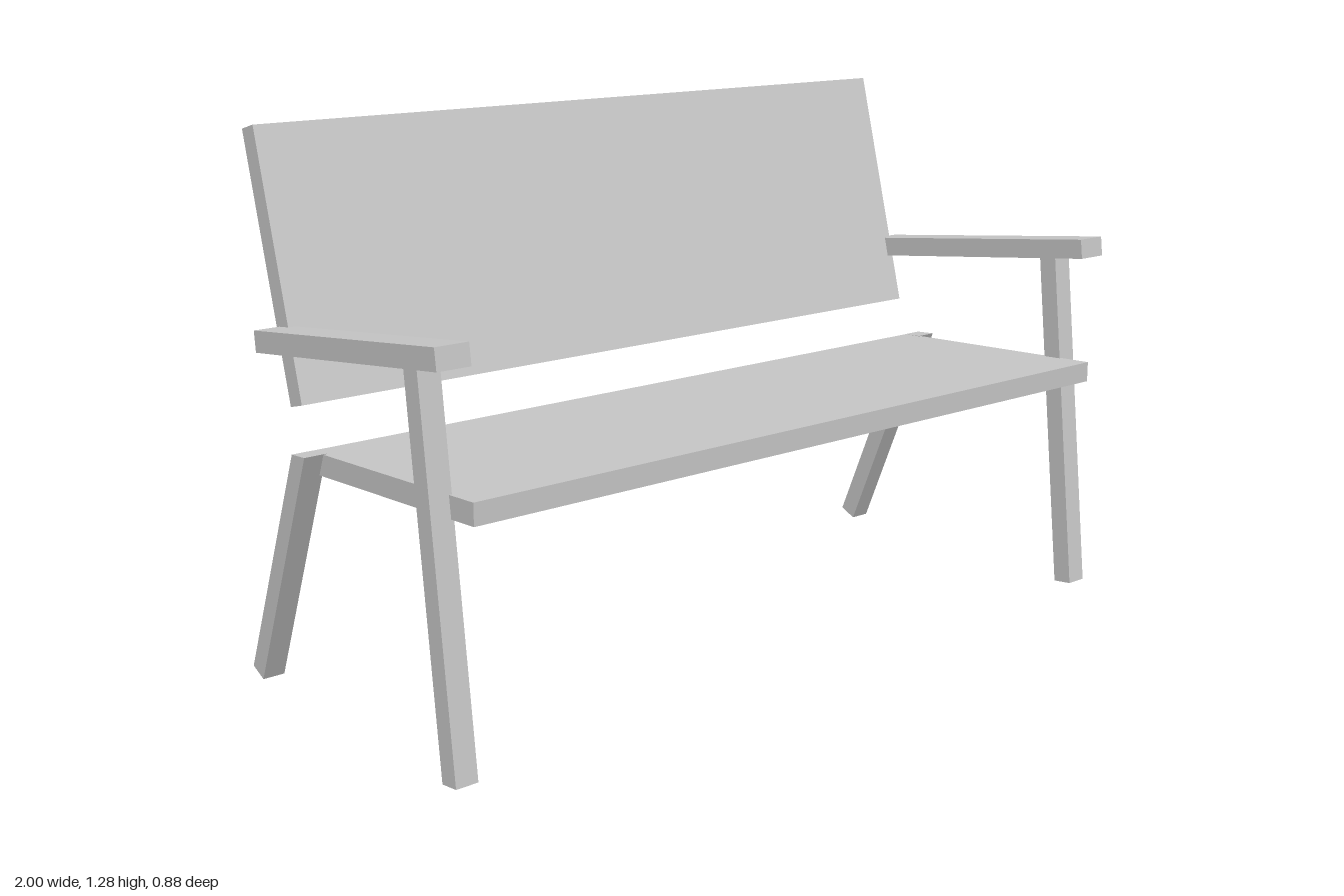
import * as THREE from 'three';

const material = new THREE.MeshStandardMaterial({ color: 0xcccccc, flatShading: true });

// A plank: side outline given as [z, y] corners, extruded across x and centred on x
function plank(name, outline, width, x = 0) {
  const shape = new THREE.Shape(outline.map(([z, y]) => new THREE.Vector2(z, y)));
  const geometry = new THREE.ExtrudeGeometry(shape, { depth: width, bevelEnabled: false });
  geometry.translate(0, 0, -width / 2);
  geometry.rotateY(-Math.PI / 2);
  const mesh = new THREE.Mesh(geometry, material);
  mesh.name = name;
  mesh.position.x = x;
  return mesh;
}

export function createModel() {
  const bench = new THREE.Group();
  bench.name = 'bench';

  // Seat slopes down to the rear, backrest leans away
  bench.add(plank('seat', [[0.438, 0.562], [0.438, 0.612], [-0.196, 0.581], [-0.196, 0.531]], 1.876));
  bench.add(plank('backrest', [[-0.228, 0.677], [-0.388, 1.278], [-0.438, 1.265], [-0.278, 0.664]], 1.876));

  // Mirrored side frames
  for (const [side, s] of [['left', 1], ['right', -1]]) {
    const frame = new THREE.Group();
    frame.name = side + 'Frame';
    frame.add(
      plank('frontLeg', [[0.418, 0.014], [0.323, 0.868], [0.274, 0.861], [0.368, 0.008]], 0.054, s * 0.958),
      // Top of the rear leg is cut along the seat slope
      plank('backLeg', [[-0.387, 0], [-0.142, 0.585], [-0.197, 0.581], [-0.432, 0.02]], 0.054, s * 0.958),
      plank('armrest', [[0.418, 0.878], [0.412, 0.926], [-0.313, 0.84], [-0.308, 0.791]], 0.08, s * 0.96)
    );
    bench.add(frame);
  }
  return bench;
}
